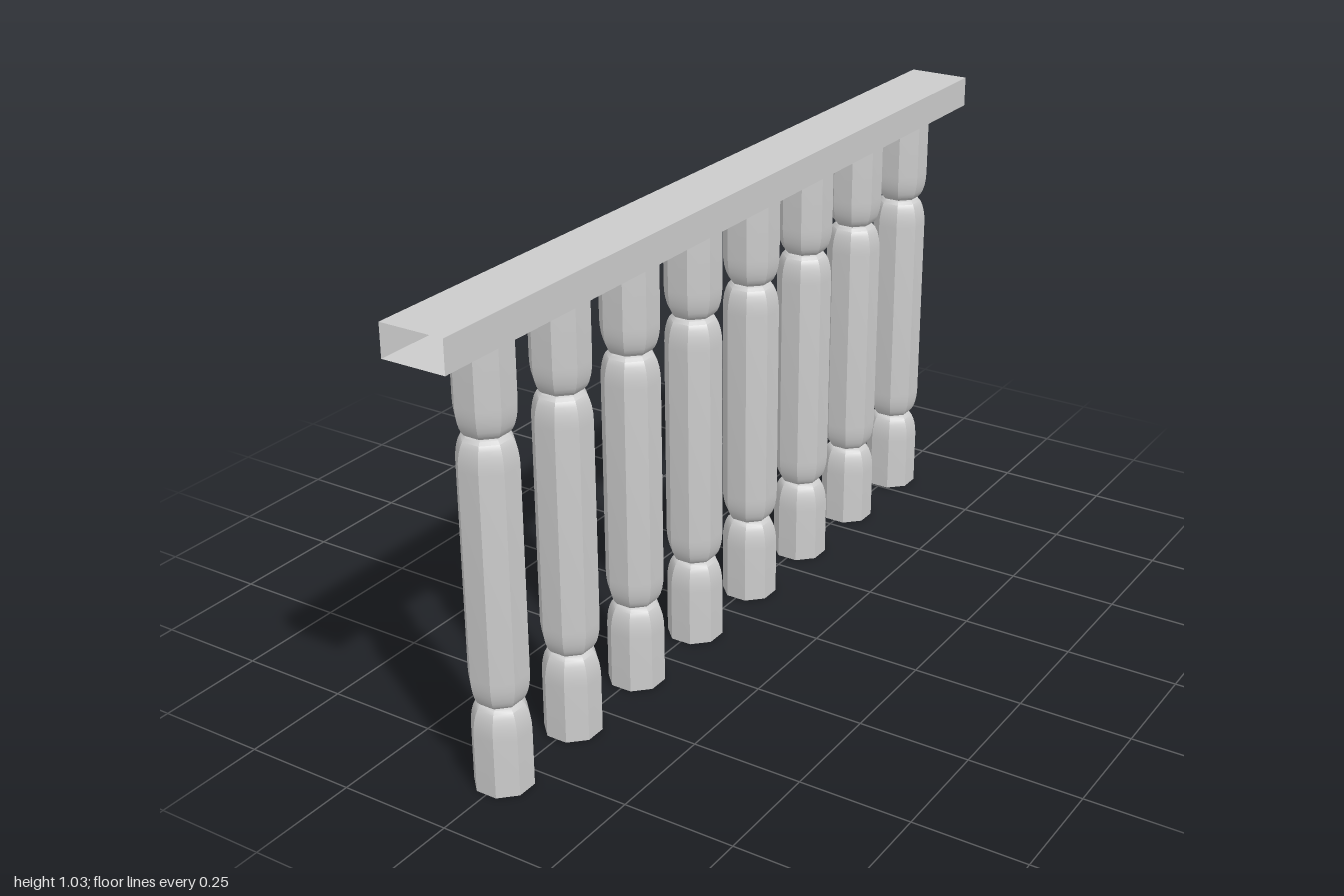
import * as THREE from 'three';
import { toCreasedNormals } from 'three/addons/utils/BufferGeometryUtils.js';

const HEIGHT = 0.965, WAISTS = [0.193, 0.77];
const FLAT = 0.058, WAIST = 0.036, ROUND = 0.065; // half widths across flats, rounding height
const COUNT = 8, SPACING = 0.232;

// Eight-sided turned post with two pinched waists
function balusterGeometry() {
  const corner = 1 / Math.cos(Math.PI / 8);
  const profile = [];
  const add = (r, y) => profile.push(new THREE.Vector2(r * corner, y));
  const steps = 6;
  const arc = (i, waist, dir) => {
    const a = (i / steps) * Math.PI / 2;
    add(WAIST + (FLAT - WAIST) * Math.cos(a), waist + dir * ROUND * (1 - Math.sin(a)));
  };
  add(FLAT, 0);
  for (const waist of WAISTS) {
    for (let i = 0; i <= steps; i++) arc(i, waist, -1);
    for (let i = steps - 1; i >= 0; i--) arc(i, waist, 1);
  }
  add(FLAT, HEIGHT);
  return toCreasedNormals(new THREE.LatheGeometry(profile, 8, Math.PI / 8), 0.65);
}

// Rectangular tube with open ends, running along z
function railGeometry() {
  const r = Math.SQRT1_2;
  const tube = new THREE.CylinderGeometry(r, r, 1, 4, 1, true, Math.PI / 4);
  tube.rotateX(Math.PI / 2).scale(0.144, 0.07, 2);
  return toCreasedNormals(tube, 0.5);
}

export function createModel() {
  const group = new THREE.Group();
  group.name = 'balustrade';
  const material = new THREE.MeshStandardMaterial({ color: 0xcccccc, side: THREE.DoubleSide });

  // Handrail
  const rail = new THREE.Mesh(railGeometry(), material);
  rail.name = 'handrail';
  rail.position.y = HEIGHT + 0.035;
  group.add(rail);

  // Row of balusters
  const geometry = balusterGeometry();
  for (let i = 0; i < COUNT; i++) {
    const baluster = new THREE.Mesh(geometry, material);
    baluster.name = `baluster${i + 1}`;
    baluster.position.z = (i - (COUNT - 1) / 2) * SPACING;
    group.add(baluster);
  }
  return group;
}
